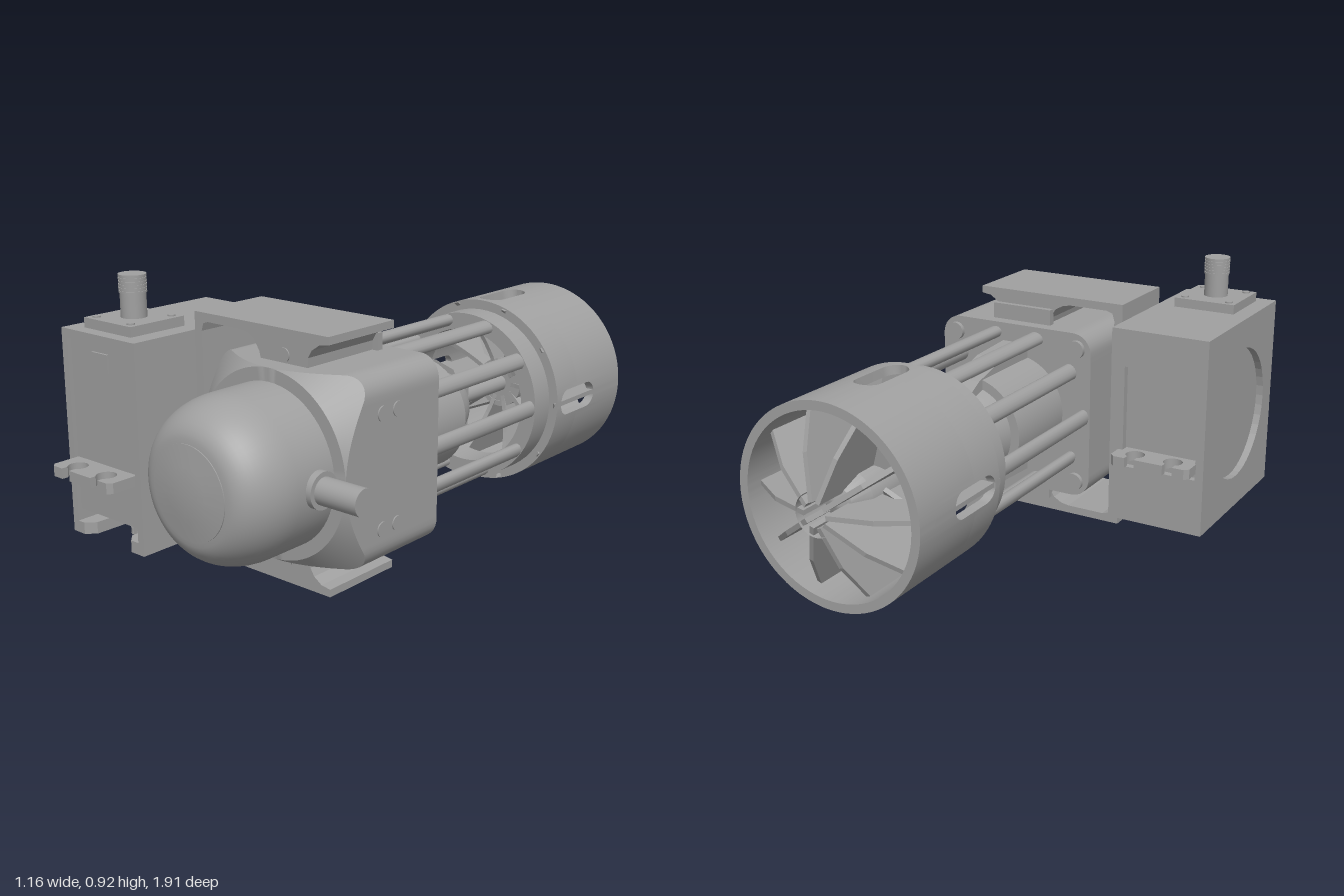
import * as THREE from 'three';
import { toCreasedNormals } from 'three/addons/utils/BufferGeometryUtils.js';

const grey = new THREE.MeshStandardMaterial({ color: 0xa0a0a0 });
grey.name = 'mid grey';
const CX = 0.155, CY = 0.405; // thruster axis
const V2 = (x, y) => new THREE.Vector2(x, y);

// skin closed cross-section loops into a surface
function loft(rings) {
  const pos = rings.flat(2), idx = [], n = rings[0].length;
  for (let i = 0; i < rings.length - 1; i++)
    for (let j = 0; j < n; j++) {
      const a = i * n + j, b = i * n + (j + 1) % n;
      idx.push(a, b, b + n, a, b + n, a + n);
    }
  const g = new THREE.BufferGeometry();
  g.setAttribute('position', new THREE.Float32BufferAttribute(pos, 3));
  g.setIndex(idx);
  g.computeVertexNormals();
  return toCreasedNormals(g, 0.5);
}

// lathe around the z axis from [radius, z] pairs with z rising on the outside
const latheZ = (pts, seg = 64) =>
  toCreasedNormals(new THREE.LatheGeometry(pts.map(p => V2(p[0], p[1])), seg).rotateX(Math.PI / 2), 0.5);
const tubeZ = (ri, ro, z0, z1) => latheZ([[ri, z0], [ro, z0], [ro, z1], [ri, z1], [ri, z0]]);
const extrude = (shape, depth) =>
  new THREE.ExtrudeGeometry(shape, { depth, bevelEnabled: false, curveSegments: 20 });

function circleHole(shape, x, y, r) {
  const h = new THREE.Path();
  h.absarc(x, y, r, 0, Math.PI * 2, true);
  shape.holes.push(h);
}
const rectShape = (x0, y0, x1, y1) =>
  new THREE.Shape([V2(x0, y0), V2(x1, y0), V2(x1, y1), V2(x0, y1)]);

function add(parent, name, geo, x = 0, y = 0, z = 0) {
  const m = new THREE.Mesh(geo, grey);
  m.name = name;
  m.position.set(x, y, z);
  parent.add(m);
  return m;
}
// box given by its extents
const box = (p, name, x0, x1, y0, y1, z0, z1) =>
  add(p, name, new THREE.BoxGeometry(x1 - x0, y1 - y0, z1 - z0), (x0 + x1) / 2, (y0 + y1) / 2, (z0 + z1) / 2);
const cyl = (r, h, seg = 32) => new THREE.CylinderGeometry(r, r, h, seg);

// rounded square block whose front corners are cut back by a cone
function blockGeometry() {
  const h = 0.3, rc = 0.07, k = h - rc, rings = [[], [], [], [], []];
  for (let i = 0; i < 160; i++) {
    const t = i / 160 * Math.PI * 2, c = Math.cos(t), s = Math.sin(t);
    const ac = Math.abs(c), as = Math.abs(s), mx = Math.max(ac, as);
    let R = h / mx;
    if (Math.min(ac, as) * R > k) {
      const b = k * (ac + as);
      R = b + Math.sqrt(b * b - (2 * k * k - rc * rc));
    }
    [[0, 0.22], [R, 0.22], [R, 0.655 - (R - 0.3)], [0.299, 0.655], [0, 0.655]]
      .forEach(([r, z], n) => rings[n].push([r * c, r * s, z]));
  }
  return loft(rings);
}

// half of the shroud wall, with its inner edge running round four slots
function shroudBand(front) {
  const ro = 0.33, ri = 0.3, zm = -0.565, w = 0.045, L = 0.065, rings = [];
  for (let q = 0; q < 4; q++) {
    const steps = [];
    for (let i = 0; i <= 16; i++) {
      const u = -Math.cos(i / 16 * Math.PI);
      steps.push([u * w / ro, L + w * Math.sqrt(Math.max(0, 1 - u * u))]);
    }
    steps.unshift([-w / ro, 0]);
    for (let i = 0; i <= 16; i++)
      steps.push([w / ro + i / 16 * (Math.PI / 2 - 2 * w / ro), 0]);
    for (const [da, off] of steps) {
      const a = q * Math.PI / 2 + da, c = Math.cos(a), s = Math.sin(a);
      const z1 = front ? -0.43 : zm - off, z0 = front ? zm + off : -0.855;
      rings.push([[ro, z1], [ro, z0], [ri, z0], [ri, z1]].map(([r, z]) => [r * c, r * s, z]));
    }
  }
  rings.push(rings[0]);
  return loft(rings);
}

function buildThruster() {
  const g = new THREE.Group();
  g.name = 'thruster';
  g.position.set(CX, CY, 0);
  add(g, 'housingBlock', blockGeometry());

  // dome with flat cap
  const dome = [[0.257, 0.6], [0.257, 0.8]];
  for (let i = 1; i <= 12; i++) {
    const a = i / 12 * Math.PI / 2;
    dome.push([0.145 + 0.112 * Math.cos(a), 0.8 + 0.18 * Math.sin(a)]);
  }
  dome.push([0.145, 0.983], [0.08, 0.993], [0, 0.997]);
  add(g, 'dome', latheZ(dome));
  add(g, 'portCollar', cyl(0.057, 0.05).rotateZ(Math.PI / 2), 0.25, 0, 0.72);
  add(g, 'sidePort', cyl(0.042, 0.2).rotateZ(Math.PI / 2), 0.325, 0, 0.72);

  // screws on the block sides and back
  for (const s of [-1, 1]) for (const y of [-0.18, 0.18]) {
    for (const z of [0.42, 0.49])
      add(g, 'sideScrew', cyl(0.024, 0.008, 20).rotateZ(Math.PI / 2), s * 0.3, y, z);
    add(g, 'backScrew', cyl(0.032, 0.02, 20).rotateX(Math.PI / 2), s * 0.245, y / 0.18 * 0.245, 0.215);
  }

  // cage
  for (let i = 0; i < 10; i++) {
    const a = i / 10 * Math.PI * 2;
    const rod = add(g, 'cageRod', cyl(0.024, 0.6, 16).rotateX(Math.PI / 2).scale(0.9, 1.2, 1),
      0.274 * Math.cos(a), 0.274 * Math.sin(a), -0.07);
    rod.rotation.z = a;
  }
  add(g, 'cageRing', tubeZ(0.24, 0.297, -0.45, -0.34));

  // motor with top and bottom fins
  add(g, 'motorBody', latheZ([[0, -0.21], [0.115, -0.21], [0.135, -0.17], [0.16, -0.08], [0.192, -0.08], [0.192, 0.22]]));
  const fin = new THREE.Shape([V2(-0.22, -0.235), V2(-0.05, -0.225), V2(0.1, -0.185), V2(0.2, -0.13), V2(0.22, -0.1),
    V2(0.22, 0.1), V2(0.2, 0.13), V2(0.1, 0.185), V2(-0.05, 0.225), V2(-0.22, 0.235)]);
  add(g, 'motorFin', extrude(fin, 0.1).rotateY(Math.PI / 2), -0.05);
  add(g, 'shaft', cyl(0.03, 0.6, 20).rotateX(Math.PI / 2), 0, 0, -0.5);
  box(g, 'coupling', -0.045, 0.045, -0.095, 0.095, -0.3, -0.23);

  // propeller
  add(g, 'propellerHub', latheZ([[0, -0.82], [0.05, -0.8], [0.085, -0.74], [0.09, -0.56], [0, -0.56]], 32));
  for (let i = 0; i < 4; i++) {
    const blade = new THREE.Group();
    blade.name = 'propellerBlade';
    blade.rotation.z = i * Math.PI / 2 + 0.4;
    add(blade, 'blade', new THREE.BoxGeometry(0.2, 0.16, 0.015), 0.18, 0, -0.66).rotation.x = 0.6;
    g.add(blade);
  }

  // shroud and domed rear guard
  add(g, 'shroudFront', shroudBand(true));
  add(g, 'shroudRear', shroudBand(false));
  add(g, 'shroudLip', tubeZ(0.25, 0.325, -0.455, -0.43));
  const arc = r => -1 + 0.437 - Math.sqrt(0.437 ** 2 - r * r);
  const outer = [], cap = [];
  for (let i = 0; i <= 10; i++) {
    const r = 0.325 - i / 10 * 0.285;
    outer.push(V2(r, arc(r) + 0.437));
    cap.push([i / 10 * 0.07, arc(i / 10 * 0.07) + 0.437]);
  }
  const ribShape = new THREE.Shape([...outer, V2(0.04, -0.91), V2(0.18, -0.87), V2(0.31, -0.79), V2(0.325, -0.79)]);
  for (let i = 0; i < 10; i++) {
    const rib = add(g, 'guardRib', extrude(ribShape, 0.016).translate(0, 0, -0.008).rotateX(Math.PI / 2));
    rib.rotation.z = i / 10 * Math.PI * 2;
  }
  add(g, 'guardHub', latheZ([...cap, [0.07, -0.91], [0, -0.91]], 32));
  return g;
}

function buildBracket() {
  // C-shaped bracket with bosses above and below the block
  const half = [[0.33, 0.81], [0.33, 0.785], [0.295, 0.78], [0.265, 0.76], [0.25, 0.735], [0.248, 0.69],
    [0.06, 0.69], [0.052, 0.725], [0.03, 0.76], [0, 0.777], [-0.03, 0.782], [-0.17, 0.782], [-0.192, 0.775], [-0.2, 0.75]];
  const pts = half.map(p => V2(p[0], p[1]));
  pts.push(...half.slice().reverse().map(p => V2(p[0], 0.81 - p[1])));
  pts.push(V2(-0.23, 0), V2(-0.23, 0.81));
  const g = new THREE.Group();
  g.name = 'bracket';
  add(g, 'bracketFrame', extrude(new THREE.Shape(pts), 0.3), 0, 0, 0.285);
  for (const y of [0.08, 0.73]) {
    add(g, 'bossPin', cyl(0.022, 0.308, 24).rotateX(Math.PI / 2), CX, y, 0.435);
    box(g, 'bossStep', 0.04, 0.27, y - 0.03, y + 0.03, 0.265, 0.29);
  }
  return g;
}

function buildServo() {
  const g = new THREE.Group();
  g.name = 'servoUnit';
  const x0 = -0.58, x1 = -0.23, z0 = 0.21, z1 = 0.835, px = -0.408, pz = 0.68;

  // frame: side walls with round openings, top, windowed back, notched bottom
  for (const x of [x0, x1 - 0.025]) {
    const wall = rectShape(-z1, 0.06, -z0, 0.75);
    circleHole(wall, -0.52, 0.41, 0.235);
    add(g, 'sideWall', extrude(wall, 0.025).rotateY(Math.PI / 2), x);
  }
  box(g, 'frameTop', x0, x1, 0.72, 0.75, z0, z1);
  const back = rectShape(x0, 0.06, x1, 0.75);
  back.holes.push(new THREE.Path([V2(-0.55, 0.26), V2(-0.55, 0.62), V2(-0.28, 0.62), V2(-0.28, 0.26)]));
  add(g, 'backWall', extrude(back, 0.025), 0, 0, z0);
  const floor = new THREE.Shape([V2(x0, z0), V2(x1, z0), V2(x1, z1), V2(-0.29, z1), V2(-0.32, z1 - 0.03)]);
  floor.absarc(px, pz, 0.085, 0, -Math.PI, true);
  floor.lineTo(-0.496, z1 - 0.03);
  floor.lineTo(-0.526, z1);
  floor.lineTo(x0, z1);
  add(g, 'frameBottom', extrude(floor, 0.04).rotateX(Math.PI / 2), 0, 0.1);

  // servo body and geared output
  box(g, 'servoLower', -0.553, -0.262, 0.14, 0.285, 0.24, 0.82);
  box(g, 'servoUpper', -0.553, -0.262, 0.32, 0.715, 0.24, 0.82);
  box(g, 'servoWaist', -0.54, -0.275, 0.28, 0.33, 0.24, 0.8);
  box(g, 'servoLabel', -0.445, -0.37, 0.63, 0.69, 0.815, 0.828);
  add(g, 'outputBoss', cyl(0.09, 0.04), px, 0.13, pz);
  add(g, 'outputGear', cyl(0.036, 0.08, 24), px, 0.09, pz);
  for (let i = 0; i < 16; i++) {
    const a = i / 16 * Math.PI * 2;
    const tooth = add(g, 'gearTooth', new THREE.BoxGeometry(0.012, 0.06, 0.008),
      px + 0.038 * Math.cos(a), 0.08, pz + 0.038 * Math.sin(a));
    tooth.rotation.y = -a;
  }

  // mounting ears with keyhole notches at both ends
  const ears = new THREE.Shape();
  for (const s of [1, -1]) {
    ears.lineTo(s * 0.145, s * 0.38);
    ears.lineTo(s * 0.13, s * 0.395);
    for (const x of [0.07, -0.07]) {
      const cx = s * x, cz = s * 0.345, turn = s > 0 ? 0 : Math.PI;
      ears.lineTo(cx + s * 0.018, s * 0.395);
      ears.absarc(cx, cz, 0.033, turn + 1.0, turn + Math.PI - 1.0, true);
      ears.lineTo(cx - s * 0.018, s * 0.395);
    }
    ears.lineTo(-s * 0.13, s * 0.395);
    ears.lineTo(-s * 0.145, s * 0.38);
  }
  ears.curves.shift(); // drop the stub from the origin
  add(g, 'mountingEars', extrude(ears, 0.035).rotateX(Math.PI / 2), px, 0.32, 0.535);

  // cable gland on top
  box(g, 'glandPlate', -0.52, -0.296, 0.74, 0.783, 0.57, 0.79);
  for (const sx of [-1, 1]) for (const sz of [-1, 1])
    add(g, 'glandScrew', cyl(0.013, 0.008, 16), px + sx * 0.083, 0.784, pz + sz * 0.083);
  add(g, 'glandStem', cyl(0.042, 0.14), px, 0.85, pz);
  for (let i = 0; i < 6; i++)
    add(g, 'glandThread', cyl(0.045, 0.006), px, 0.866 + i * 0.0105, pz);
  return g;
}

export function createModel() {
  const model = new THREE.Group();
  model.name = 'thrusterWithServo';
  model.add(buildThruster(), buildBracket(), buildServo());
  return model;
}
